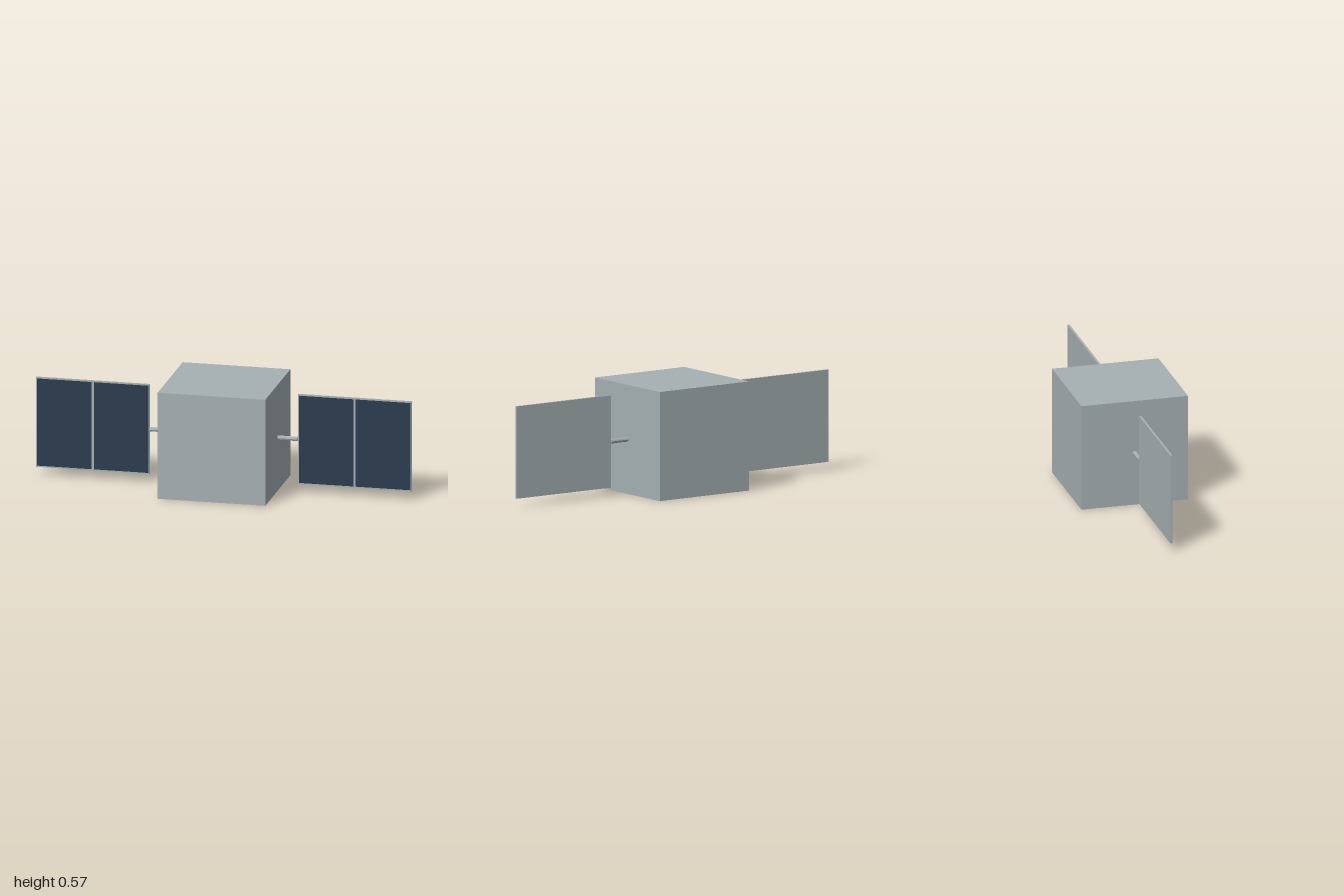
import * as THREE from 'three';

export function createModel() {
  const metal = new THREE.MeshStandardMaterial({ color: 0xa6b0b3, flatShading: true });
  metal.name = 'grey metal';
  const solar = new THREE.MeshStandardMaterial({ color: 0x2c3c50, flatShading: true });
  solar.name = 'dark blue solar cell';

  const model = new THREE.Group();
  model.name = 'satellite';
  const size = 0.573, midY = size / 2;

  const add = (parent, name, geometry, material, x, y, z) => {
    const mesh = new THREE.Mesh(geometry, material);
    mesh.name = name;
    mesh.position.set(x, y, z);
    parent.add(mesh);
    return mesh;
  };

  // Cube body
  add(model, 'body', new THREE.BoxGeometry(size, size, size), metal, 0, midY, 0);

  // Wings: arm, framed panel and two front cells on each side
  const panelW = 0.606, panelH = 0.485, panelD = 0.012;
  const border = 0.007, gap = 0.011;
  const cellW = (panelW - 2 * border - gap) / 2;
  const inner = 1 - panelW;
  const armLength = inner - size / 2;
  for (const side of [1, -1]) {
    const wing = new THREE.Group();
    wing.name = side > 0 ? 'leftWing' : 'rightWing';
    model.add(wing);

    const arm = add(wing, 'arm', new THREE.CylinderGeometry(0.012, 0.012, armLength, 8),
      metal, side * (inner - armLength / 2), midY, 0);
    arm.rotation.z = Math.PI / 2;

    const panelX = side * (1 - panelW / 2);
    add(wing, 'panelFrame', new THREE.BoxGeometry(panelW, panelH, panelD), metal, panelX, midY, 0);
    for (const s of [-1, 1]) {
      add(wing, 'solarCell', new THREE.BoxGeometry(cellW, panelH - 2 * border, 0.002),
        solar, panelX + s * (cellW + gap) / 2, midY, panelD / 2);
    }
  }
  return model;
}
